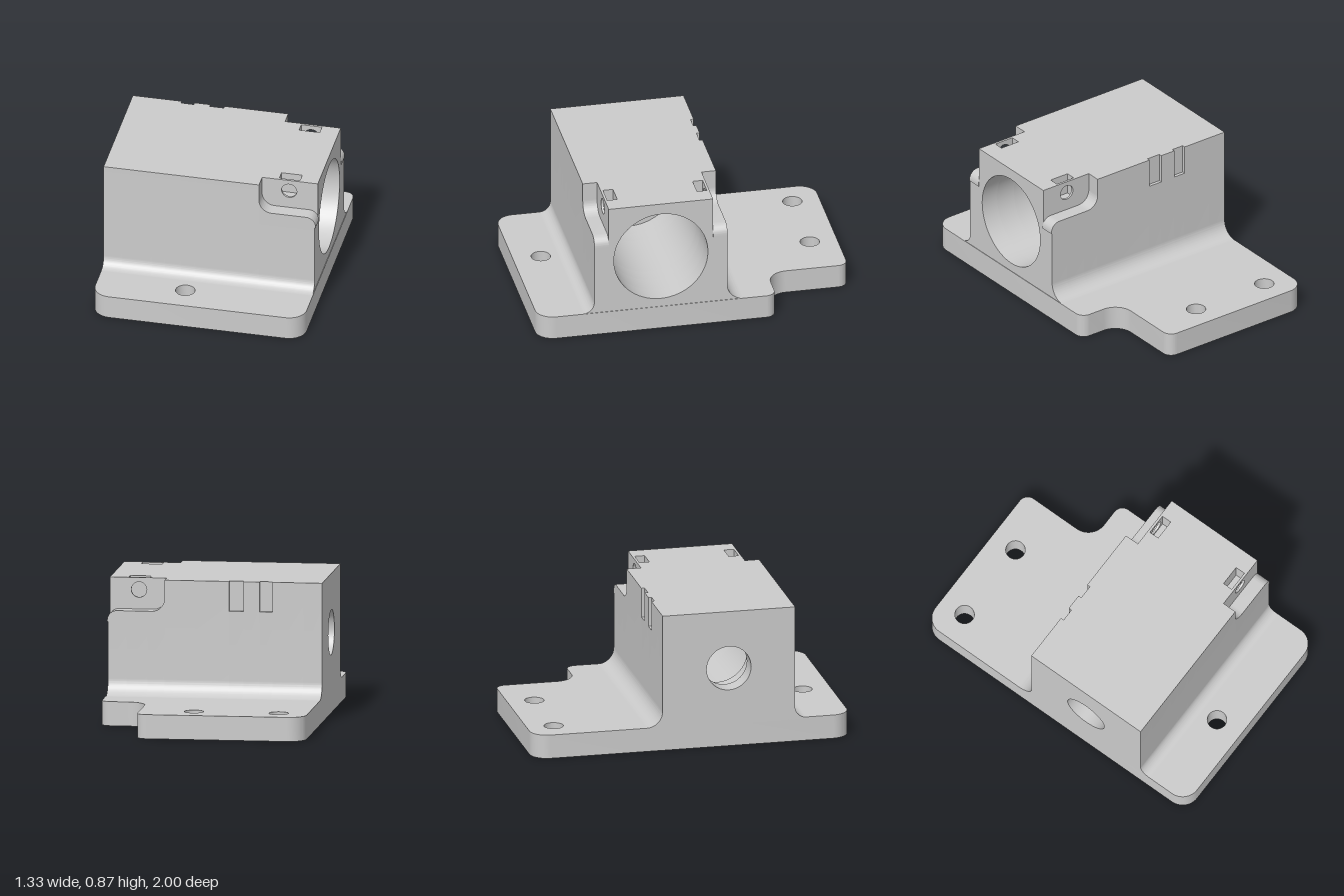
import * as THREE from 'three';
import { toCreasedNormals } from 'three/addons/utils/BufferGeometryUtils.js';

const material = new THREE.MeshStandardMaterial({ color: 0xcccccc });
const TOP = 0.865, PLATE = 0.15;
const ZC = 0.2325, HALF = 0.4175; // housing centre and half depth along z
const POCKET = 0.09;

// Closed outline from [x, y, cornerRadius] points (right-angled corners)
function outline(points, ShapeType = THREE.Shape) {
  const shape = new ShapeType();
  const n = points.length, k = 0.5523;
  points.forEach(([x, y, r = 0], i) => {
    const c = new THREE.Vector2(x, y);
    const toward = (p) => new THREE.Vector2(p[0], p[1]).sub(c).normalize().multiplyScalar(r).add(c);
    const a = toward(points[(i + n - 1) % n]);
    const b = toward(points[(i + 1) % n]);
    if (i === 0) shape.moveTo(a.x, a.y);
    else shape.lineTo(a.x, a.y);
    if (r > 0) {
      const p = a.clone().lerp(c, k), q = b.clone().lerp(c, k);
      shape.bezierCurveTo(p.x, p.y, q.x, q.y, b.x, b.y);
    }
  });
  shape.closePath();
  return shape;
}

function addHole(shape, x, y, r) {
  const hole = new THREE.Path();
  hole.absarc(x, y, r, 0, Math.PI * 2, true);
  shape.holes.push(hole);
}

function extrude(shape, depth, curveSegments = 16) {
  return new THREE.ExtrudeGeometry(shape, { depth, curveSegments, bevelEnabled: false });
}

function addMesh(parent, name, geometry) {
  const mesh = new THREE.Mesh(toCreasedNormals(geometry, 0.6), material);
  mesh.name = name;
  parent.add(mesh);
}

// One flank of the housing section: a foot fillet, then [topY, halfDepth] steps
function flank(steps, sign, fillet) {
  const s = (half) => -ZC + sign * half;
  const pts = [[s(HALF + fillet + 0.005), PLATE - 0.01], [s(HALF + fillet + 0.005), PLATE]];
  let y0 = PLATE;
  steps.forEach(([y, half], i) => {
    pts.push([s(half), y0, i === 0 ? fillet : 0], [s(half), y]);
    y0 = y;
  });
  return pts;
}

export function createModel() {
  const model = new THREE.Group();

  // Mounting plate with rounded corners, a cut-away rear corner and screw holes
  const plate = outline([
    [-0.667, -1, 0.11], [0.375, -1, 0.06], [0.375, -0.49, 0.12], [0.663, -0.49, 0.06],
    [0.663, 1, 0.11], [-0.667, 1, 0.11],
  ]);
  [[-0.485, -0.83], [0.04, -0.83], [-0.115, 0.825]].forEach(([x, z]) => addHole(plate, x, z, 0.06));
  addMesh(model, 'mountingPlate', extrude(plate, PLATE).rotateX(Math.PI / 2).translate(0, PLATE, 0));

  // Housing, built along x as sections with a stepped bore
  const housing = new THREE.Group();
  housing.name = 'housing';
  model.add(housing);
  const solid = [[TOP, HALF]];
  const notch = [[0.68, HALF], [TOP, HALF - 0.02]];
  const pocket = [[0.6, HALF], [TOP, HALF - POCKET]];
  const nutSlot = [[0.6, HALF], [0.73, HALF - POCKET], [TOP, 0.25]];
  const sections = [ // x start, x end, bore radius, front flank, back flank
    [-0.667, -0.55, 0.14, solid, solid],
    [-0.55, -0.36, 0.185, solid, solid],
    [-0.36, -0.28, 0.235, solid, notch],
    [-0.28, -0.18, 0.295, solid, solid],
    [-0.18, -0.09, 0.295, solid, notch],
    [-0.09, 0.31, 0.295, solid, solid],
    [0.31, 0.415, 0.295, pocket, pocket],
    [0.415, 0.545, 0.295, nutSlot, nutSlot],
    [0.545, 0.66, 0.295, pocket, pocket],
  ];
  sections.forEach(([x0, x1, bore, front, back]) => {
    const section = outline([...flank(back, 1, 0.1), ...flank(front, -1, 0.07).reverse()]);
    addHole(section, -ZC, 0.5, bore);
    addMesh(housing, 'housingSection', extrude(section, x1 - x0, 32).rotateY(Math.PI / 2).translate(x0, 0, 0));
  });

  // Rounded ledges under the corner pockets, and drilled walls in front of the nut slots
  const ledge = outline([
    [0.31, 0.6], [0.665, 0.6], [0.665, 0.67, 0.06], [0.31, 0.67, 0.0],
  ]);
  const cornerFillet = new THREE.Shape();
  cornerFillet.moveTo(0.31, 0.67);
  cornerFillet.lineTo(0.39, 0.67);
  cornerFillet.absarc(0.39, 0.75, 0.08, -Math.PI / 2, -Math.PI, true);
  cornerFillet.closePath();
  const wall = outline([[0.415, 0.73], [0.545, 0.73], [0.545, TOP], [0.415, TOP]]);
  addHole(wall, 0.48, 0.79, 0.048);
  for (const side of [1, -1]) {
    const place = (shape, outer, depth) =>
      extrude(shape, depth).translate(0, 0, ZC + side * (outer - depth / 2) - depth / 2);
    addMesh(housing, 'pocketLedge', place(ledge, HALF, POCKET));
    addMesh(housing, 'pocketFillet', place(cornerFillet, HALF, POCKET));
    addMesh(housing, 'nutSlotWall', place(wall, HALF - POCKET, 0.015));
  }

  return model;
}
